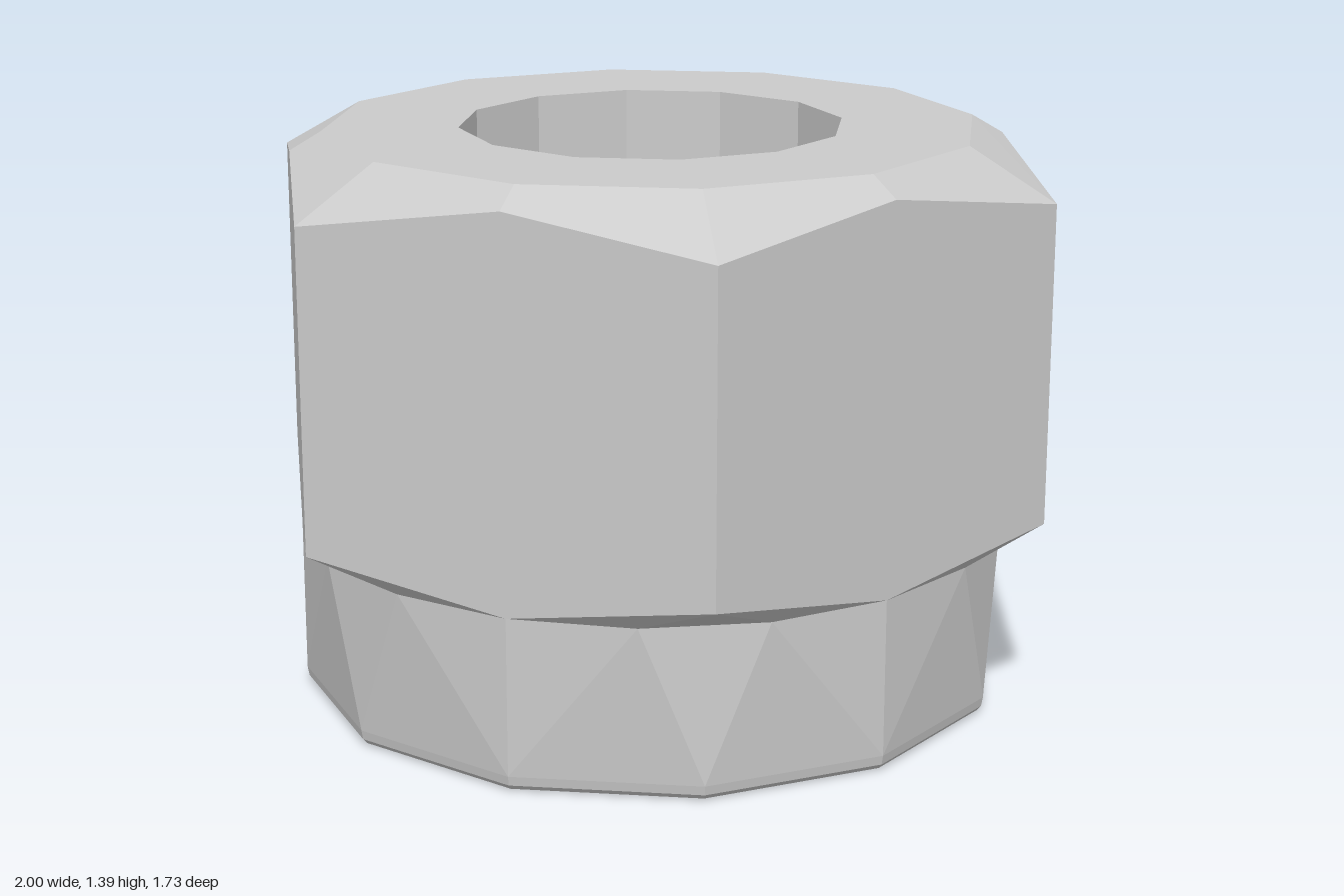
import * as THREE from 'three';

const FLAT = Math.sqrt(3) / 2; // distance from the axis to a hexagon flat

const polar = (deg, r, y) => {
  const a = THREE.MathUtils.degToRad(deg);
  return new THREE.Vector3(r * Math.cos(a), y, r * Math.sin(a));
};

// Twelve-sided ring
const ring = (r, y) => Array.from({ length: 12 }, (_, i) => polar(i * 30, r, y));

// Hexagon with edge midpoints: corners on even points, midpoints on odd ones
const hexRing = (cornerY, midY) => Array.from({ length: 12 }, (_, i) =>
  i % 2 ? polar(i * 30, FLAT, midY) : polar(i * 30, 1, cornerY));

// Quads between consecutive rings, wound so the solid lies inside
function loft(rings) {
  const tris = [];
  for (let k = 0; k < rings.length - 1; k++) {
    const a = rings[k], b = rings[k + 1];
    for (let i = 0; i < 12; i++) {
      const j = (i + 1) % 12;
      // mirrored diagonals keep the facets symmetric about each corner
      if (i % 2) tris.push(a[i], b[i], a[j], b[i], b[j], a[j]);
      else tris.push(a[i], b[i], b[j], a[i], b[j], a[j]);
    }
  }
  return tris;
}

function makeMesh(name, tris) {
  const geometry = new THREE.BufferGeometry().setFromPoints(tris);
  geometry.computeVertexNormals();
  const material = new THREE.MeshStandardMaterial({ color: 0xcccccc, flatShading: true });
  const mesh = new THREE.Mesh(geometry, material);
  mesh.name = name;
  return mesh;
}

export function createModel() {
  const group = new THREE.Group();
  group.name = 'hexNut';

  // Hexagonal body: sides, upper chamfer and top face
  const body = loft([hexRing(0.5, 0.42), hexRing(1.27, 1.345), ring(0.79, 1.39), ring(0.465, 1.39)]);

  // Collar: twelve sides at the foot turning into eighteen under the body
  const collar = [];
  for (let s = 0; s < 6; s++) {
    const start = 30 + s * 60;
    const low = [0, 30, 60].map(d => polar(start + d, FLAT, 0.04));
    const high = [0, 20, 40, 60].map(d => polar(start + d, FLAT, 0.42));
    const corner = polar(start + 30, 1, 0.5);
    collar.push(
      low[0], high[0], high[1],
      low[0], high[1], low[1],
      low[1], high[1], high[2],
      low[1], high[2], low[2],
      low[2], high[2], high[3]);
    // underside chamfer fanning out from each hexagon corner
    for (let i = 0; i < 3; i++) body.push(high[i], corner, high[i + 1]);
  }

  // Rounded foot and bottom face
  const foot = loft([ring(0.54, 0), ring(0.835, 0), ring(0.852, 0.005), ring(0.862, 0.017), ring(FLAT, 0.04)]);

  // Through bore with a shallow counterbore at the bottom
  const bore = loft([ring(0.465, 1.39), ring(0.465, 0.08), ring(0.54, 0.08), ring(0.54, 0)]);

  group.add(
    makeMesh('hexBody', body),
    makeMesh('collar', collar),
    makeMesh('roundedFoot', foot),
    makeMesh('bore', bore));
  return group;
}
